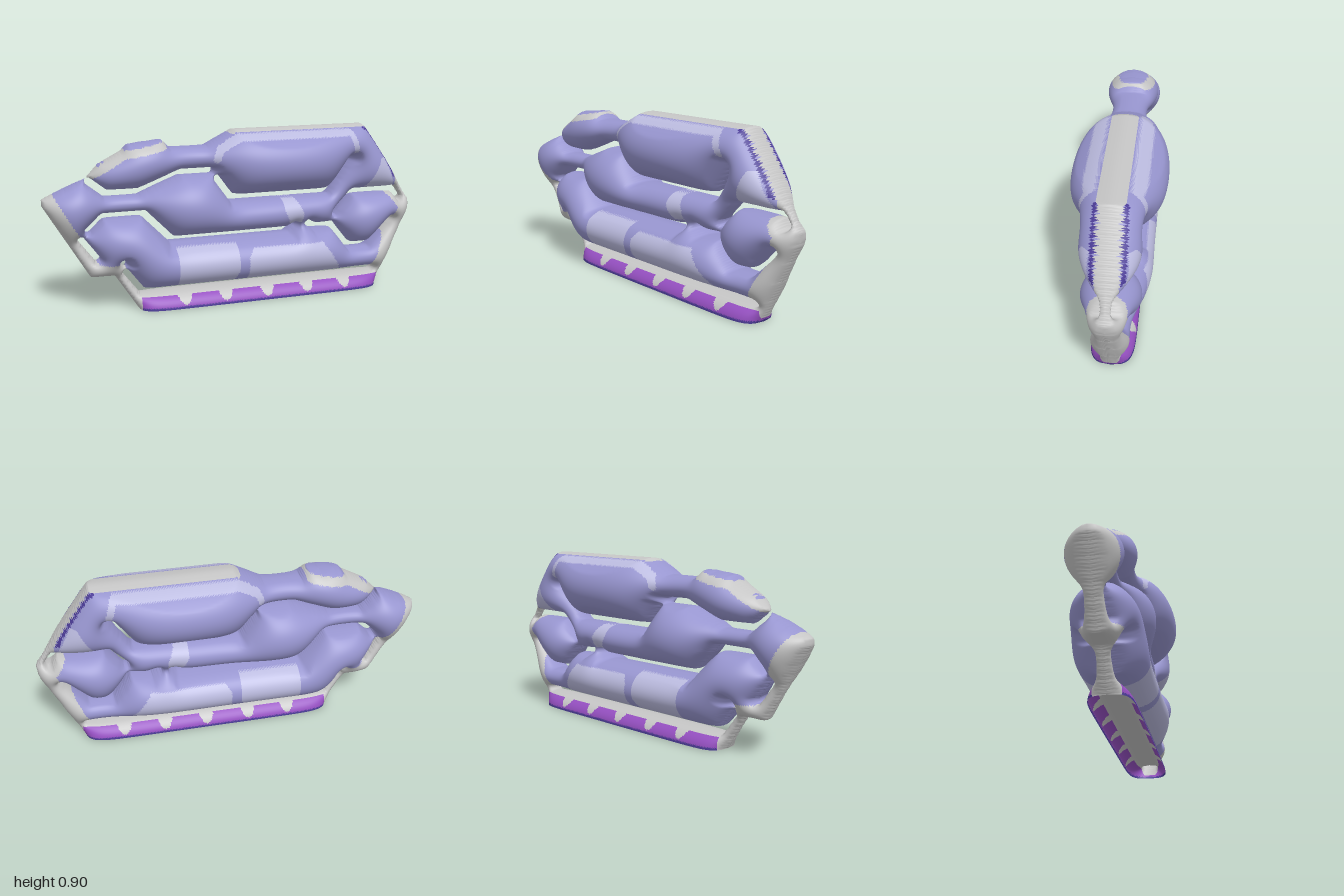
import * as THREE from 'three';

const STEP = 0.008, X0 = -1.008, NX = 253, NY = 116;

// Outer silhouette (runs below the floor, so the base stays open underneath)
const OUTLINE = [
  [-1, 0.6], [-0.79, 0.69], [-0.72, 0.76], [-0.6, 0.82], [-0.57, 0.853], [-0.4, 0.87], [-0.36, 0.83],
  [-0.17, 0.83], [-0.02, 0.905], [0.7, 0.905], [0.89, 0.64], [1, 0.47], [0.99, 0.41], [0.8, 0],
  [0.8, -0.2], [-0.54, -0.2], [-0.54, 0], [-0.66, 0.19], [-0.78, 0.19], [-1, 0.57],
];

// Rounded slots cut through the silhouette: radius and path
const SLOTS = [
  [0.018, [[-0.77, 0.68], [-0.69, 0.615], [-0.53, 0.615], [-0.31, 0.7], [-0.15, 0.7]]],
  [0.018, [[-0.115, 0.66], [-0.035, 0.55], [0.5, 0.55], [0.62, 0.72]]],
  [0.018, [[-0.78, 0.435], [-0.71, 0.5], [-0.5, 0.5], [-0.36, 0.355], [0.28, 0.355], [0.31, 0.38]]],
  [0.015, [[-0.82, 0.39], [-0.74, 0.28]]],
  [0.012, [[-0.615, 0.255], [-0.605, 0.24]]],
  [0.016, [[-0.6, 0.2], [-0.52, 0.093], [0.78, 0.093]]],
  [0.018, [[0.39, 0.385], [0.43, 0.36], [0.54, 0.36], [0.64, 0.235], [0.75, 0.235], [0.88, 0.37]]],
  [0.018, [[0.55, 0.43], [0.65, 0.538], [0.9, 0.538], [0.935, 0.49]]],
];

function pathDistance(x, y, path) {
  let best = Infinity;
  for (let i = 0; i + 1 < path.length; i++) {
    const [ax, ay] = path[i], dx = path[i + 1][0] - ax, dy = path[i + 1][1] - ay;
    const t = Math.min(1, Math.max(0, ((x - ax) * dx + (y - ay) * dy) / (dx * dx + dy * dy)));
    best = Math.min(best, Math.hypot(x - ax - t * dx, y - ay - t * dy));
  }
  return best;
}

function insideOutline(x, y) {
  let inside = false;
  OUTLINE.forEach(([ax, ay], i) => {
    const [bx, by] = OUTLINE[(i + 1) % OUTLINE.length];
    if ((ay > y) !== (by > y) && x < ax + ((y - ay) / (by - ay)) * (bx - ax)) inside = !inside;
  });
  return inside;
}

const CLOSED = [...OUTLINE, OUTLINE[0]];

// Signed distance to the nearest edge, positive inside the solid
function solid(x, y) {
  let d = pathDistance(x, y, CLOSED) * (insideOutline(x, y) ? 1 : -1);
  for (const [r, path] of SLOTS) d = Math.min(d, pathDistance(x, y, path) - r);
  return Math.abs(d) < 1e-5 ? -1e-5 : d;
}

// Pillow height: relax a membrane pinned at every edge and free at the floor
function inflate(dist) {
  const u = new Float64Array(NX * NY);
  for (let pass = 0; pass < 400; pass++) {
    for (let j = 0; j < NY - 1; j++) {
      for (let i = 1; i < NX - 1; i++) {
        const k = j * NX + i;
        if (dist[k] <= 0) continue;
        const below = j ? u[k - NX] : u[k + NX];
        u[k] += 1.9 * ((u[k - 1] + u[k + 1] + u[k + NX] + below + 4 * STEP * STEP) / 4 - u[k]);
      }
    }
  }
  return u.map((v, k) => (dist[k] > 0 ? Math.sqrt(Math.max(1e-6, Math.min(v, 0.5 * dist[k]))) : 0));
}

const RIGHT_RIM = [[0.93, 0.55], [1, 0.45], [0.8, 0]];
const LEFT_RIM = [[-1, 0.58], [-0.78, 0.19], [-0.66, 0.19], [-0.54, 0]];
const HEAD_STRIPE = [[-0.76, 0.71], [-0.6, 0.81], [-0.4, 0.845]];
const UPPER_STRIPE = [[-0.14, 0.77], [-0.12, 0.82], [-0.02, 0.875], [0.59, 0.875], [0.62, 0.78]];
const TOP_EDGE = [[-0.02, 0.905], [0.7, 0.905], [0.89, 0.64], [1, 0.47]];
const SLOPE = [[0.7, 0.905], [0.89, 0.64]];
const GAPS = [-0.305, -0.085, 0.145, 0.37, 0.59];

// Which painted part a point of the surface belongs to
function partAt(x, y, z) {
  if (y < 0.085 && x > -0.53 && x < 0.81) {
    if (y < 0.012) return 'baseTrim';
    const gap = GAPS.some((c) => y > 0.02 && Math.abs(x - c) < 0.042 * Math.sqrt((y - 0.02) / 0.05));
    return y > 0.066 || gap ? 'greyRim' : 'scallops';
  }
  if (pathDistance(x, y, RIGHT_RIM) < 0.085 && y < 0.56) return 'greyRim';
  if (pathDistance(x, y, LEFT_RIM) < 0.07) return 'greyRim';
  if (pathDistance(x, y, HEAD_STRIPE) < 0.017) return 'greyRim';
  if (z < 0.055 && pathDistance(x, y, TOP_EDGE) < 0.03) return 'greyRim';
  if (z > 0.06 && z < 0.08 && pathDistance(x, y, SLOPE) < 0.03) return 'baseTrim';
  if (pathDistance(x, y, UPPER_STRIPE) < 0.016) return 'palePanels';
  // Two panels on the lower bolster
  if (x > -0.35 && x < -0.03 - Math.max(0, 0.2 - y) * 0.3 && y > 0.1 && y < 0.325) return 'palePanels';
  if (x > 0.02 && x < 0.44 + (0.3 - y) * 0.7 && y > 0.12 && y < 0.3 && x - 0.02 > (y - 0.26) * 0.8) return 'palePanels';
  // Link between the bolsters and shoulder patch
  if (x > 0.23 && x < 0.34 && y > 0.4 && y < 0.53 && Math.abs(x - 0.27 - (0.5 - y) * 0.5) < 0.05) return 'palePanels';
  if (y > 0.56 && y < 0.73 && Math.abs(x - 0.79) < (0.76 - y) * 0.5) return 'palePanels';
  return 'body';
}

export function createModel() {
  const dist = new Float64Array(NX * NY);
  for (let k = 0; k < dist.length; k++) dist[k] = solid(X0 + (k % NX) * STEP, Math.floor(k / NX) * STEP);
  const height = inflate(dist);

  const positions = [], ids = new Map(), all = [];
  const xOf = (k) => X0 + (k % NX) * STEP, yOf = (k) => Math.floor(k / NX) * STEP;
  const vertex = (key, x, y, z) => {
    if (!ids.has(key)) {
      ids.set(key, positions.length / 3);
      positions.push(x, y, z);
    }
    return ids.get(key);
  };
  const node = (k, side) => vertex(`${k}:${side}`, xOf(k), yOf(k), side * height[k]);
  const rim = (p, q) => {
    const a = Math.min(p, q), b = Math.max(p, q), t = dist[a] / (dist[a] - dist[b]);
    return vertex(`${a}-${b}`, xOf(a) + t * (xOf(b) - xOf(a)), yOf(a) + t * (yOf(b) - yOf(a)), 0);
  };
  const indices = { body: [], palePanels: [], greyRim: [], scallops: [], baseTrim: [] };
  const addFace = (a, b, c) => {
    all.push(a, b, c);
    const mid = (n) => (positions[a * 3 + n] + positions[b * 3 + n] + positions[c * 3 + n]) / 3;
    indices[partAt(mid(0), mid(1), Math.abs(mid(2)))].push(a, b, c);
  };

  // Front and back shells, trimmed to the edges and joined along them
  const addTriangle = (corners, side) => {
    const poly = [];
    corners.forEach((p, n) => {
      const q = corners[(n + 1) % 3];
      if (dist[p] > 0) poly.push(node(p, side));
      if ((dist[p] > 0) !== (dist[q] > 0)) poly.push(rim(p, q));
    });
    for (let n = 1; n + 1 < poly.length; n++) {
      if (side > 0) addFace(poly[0], poly[n], poly[n + 1]);
      else addFace(poly[0], poly[n + 1], poly[n]);
    }
  };
  for (let j = 0; j < NY - 1; j++) {
    for (let i = 0; i < NX - 1; i++) {
      const k = j * NX + i;
      for (const side of [1, -1]) {
        addTriangle([k, k + 1, k + NX + 1], side);
        addTriangle([k, k + NX + 1, k + NX], side);
      }
    }
  }

  // Smooth normals are shared by all the coloured parts
  const whole = new THREE.BufferGeometry();
  whole.setAttribute('position', new THREE.Float32BufferAttribute(positions, 3));
  whole.setIndex(all);
  whole.computeVertexNormals();

  const colours = {
    body: ['periwinkle', 0x9896d0], palePanels: ['paleLavender', 0xbcbce0], greyRim: ['lightGrey', 0xc6c6c6],
    scallops: ['purple', 0x9650c2], baseTrim: ['indigo', 0x4c3c98],
  };
  const group = new THREE.Group();
  group.name = 'inflatedModel';
  for (const [name, [colourName, color]] of Object.entries(colours)) {
    const geometry = new THREE.BufferGeometry();
    geometry.setAttribute('position', whole.getAttribute('position'));
    geometry.setAttribute('normal', whole.getAttribute('normal'));
    geometry.setIndex(indices[name]);
    const material = new THREE.MeshStandardMaterial({ color, side: THREE.DoubleSide });
    material.name = colourName;
    const mesh = new THREE.Mesh(geometry, material);
    mesh.name = name;
    group.add(mesh);
  }
  return group;
}
